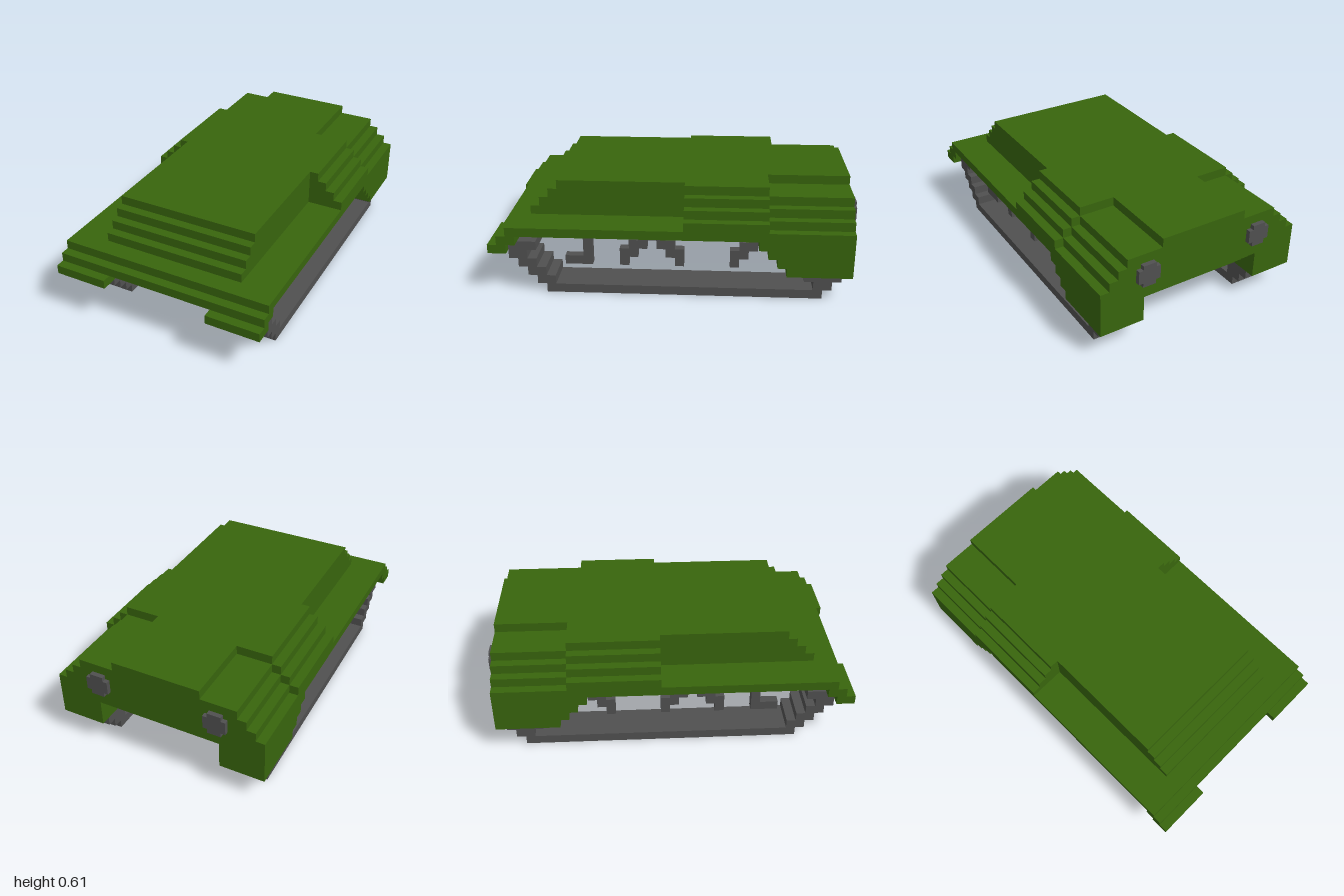
import * as THREE from 'three';

// Everything sits on a grid of cubes: x from the centre, y from the ground, k backwards from the front.
const U = 2 / 39.5;

const green = new THREE.MeshStandardMaterial({ color: 0x38650d });
green.name = 'armour green';
const grey = new THREE.MeshStandardMaterial({ color: 0x505050 });
grey.name = 'track grey';

function box(parent, material, name, x0, x1, y0, y1, k0, k1) {
  const geo = new THREE.BoxGeometry((x1 - x0) * U, (y1 - y0) * U, (k1 - k0) * U);
  const mesh = new THREE.Mesh(geo, material);
  mesh.position.set((x0 + x1) / 2 * U, (y0 + y1) / 2 * U, 1 - (k0 + k1) / 2 * U);
  mesh.name = name;
  parent.add(mesh);
  return mesh;
}

// Same box on the chosen side of the centre line
function sideBox(parent, material, name, side, a, b, ...rest) {
  return side > 0 ? box(parent, material, name, a, b, ...rest)
    : box(parent, material, name, -b, -a, ...rest);
}

function group(parent, name) {
  const g = new THREE.Group();
  g.name = name;
  parent.add(g);
  return g;
}

export function createModel() {
  const model = new THREE.Group();
  model.name = 'armouredVehicle';
  const hull = group(model, 'hull');

  // Deck plate and stepped nose
  box(hull, green, 'deckPlate', -12, 12, 7, 8, 2, 39);
  box(hull, green, 'nosePlate', -12, 12, 6, 7, 1, 3);

  // Superstructure, one layer at a time, with stepped flanks and lowered rear corners
  const top = group(hull, 'superstructure');
  for (let i = 0; i < 4; i++) {
    const y = 8 + i;
    box(top, green, 'frontBlock', -8, 8, y, y + 1, 4 + i, 21);
    box(top, green, 'centreBlock', -5, 5, y, y + 1, 21, 39);
    for (const side of [1, -1]) {
      const notch = side > 0 ? 30 : 31;
      sideBox(top, green, 'flankStep', side, 5, 12 - i, y, y + 1, 21, notch);
      if (i < 3) sideBox(top, green, 'rearCornerStep', side, 5, 11 - i, y, y + 1, notch, 39);
    }
  }

  // Rear lower hull, sloping in front and undercut behind the middle
  for (let i = 0; i < 4; i++) {
    const y = 3 + i;
    box(hull, green, 'rearBelly', -7, 7, y, y + 1, 32 - i, 36 + i);
    for (const side of [1, -1])
      sideBox(hull, green, 'rearSkirt', side, 7, 12, y, y + 1, 32 - i, 39);
  }

  // Rows of [y, kFront, kBack]
  const trackRows = [
    [0, 6, 36],
    [1, 5, 7], [2, 4, 6], [3, 3, 5], [4, 2, 4], [5, 2, 5],
    [1, 35, 37], [2, 34, 38],
  ];
  const suspensionRows = [
    // front arm
    [3, 8, 11], [4, 10, 11], [5, 10, 11], [6, 10, 11],
    // middle arch
    [6, 16, 19], [5, 15, 17], [5, 18, 20], [4, 14, 16], [4, 19, 21], [3, 14, 15], [3, 20, 21],
    // rear arm
    [6, 28, 29], [5, 27, 29], [4, 26, 28], [3, 26, 27],
  ];

  for (const side of [1, -1]) {
    const label = side > 0 ? 'left' : 'right';
    sideBox(hull, green, label + 'NoseLip', side, 6, 12, 5, 6, 0, 2);

    const track = group(model, label + 'Track');
    for (const [y, k0, k1] of trackRows)
      sideBox(track, grey, 'trackSegment', side, 7, 11, y, y + 1, k0, k1);

    const suspension = group(model, label + 'Suspension');
    for (const [y, k0, k1] of suspensionRows)
      sideBox(suspension, grey, 'suspensionArm', side, 9, 10, y, y + 1, k0, k1);

    // Round rear cap in half-size cubes
    const cap = group(model, label + 'RearCap');
    sideBox(cap, grey, 'capMiddle', side, 5.5, 8, 8, 9.5, 39, 39.5);
    sideBox(cap, grey, 'capTop', side, 6, 7.5, 9.5, 10, 39, 39.5);
    sideBox(cap, grey, 'capBottom', side, 6, 7.5, 7.5, 8, 39, 39.5);
  }

  return model;
}
